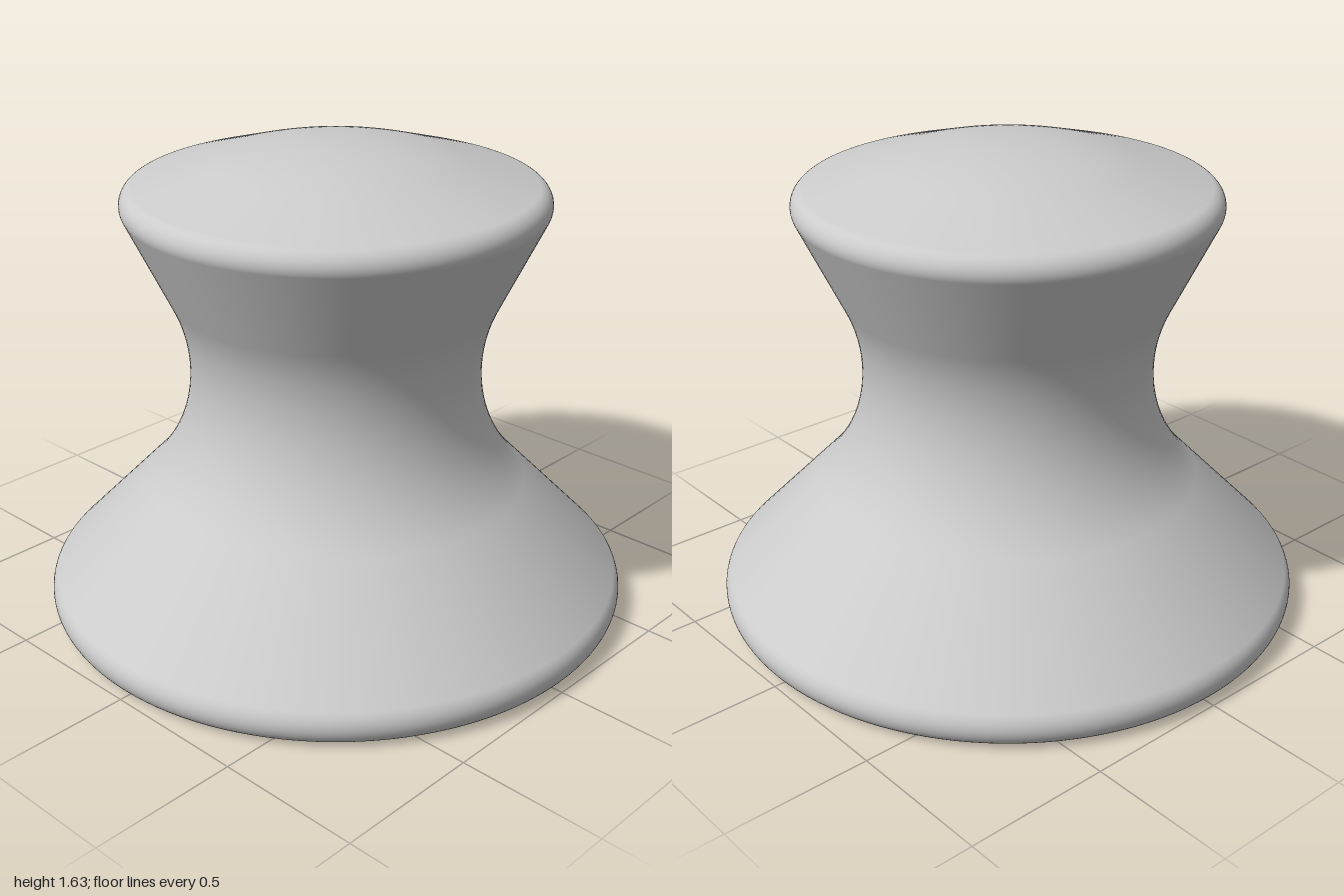
import * as THREE from 'three';

// Points along an arc of the profile, angles in degrees
function arc(cx, cy, r, from, to, steps) {
  const points = [];
  for (let i = 0; i <= steps; i++) {
    const a = THREE.MathUtils.degToRad(from + ((to - from) * i) / steps);
    points.push(new THREE.Vector2(Math.max(0, cx + r * Math.cos(a)), cy + r * Math.sin(a)));
  }
  return points;
}

export function createModel() {
  const group = new THREE.Group();
  group.name = 'knob';

  // Profile from the underside centre up to the crown; straight flanks join the arcs
  const profile = [
    new THREE.Vector2(0, 0),
    ...arc(0.925, 0.075, 0.075, -90, 44, 16), // rounded foot edge
    ...arc(1.063, 0.86, 0.57, 224, 154, 28), // concave waist
    ...arc(0.643, 1.44, 0.06, -26, 73, 14), // rounded rim
    ...arc(0, 0.161, 1.47, 73, 90, 14), // domed top
  ];

  const body = new THREE.Mesh(
    new THREE.LatheGeometry(profile, 128),
    new THREE.MeshStandardMaterial({ color: 0xcccccc })
  );
  body.name = 'knobBody';
  group.add(body);
  return group;
}
